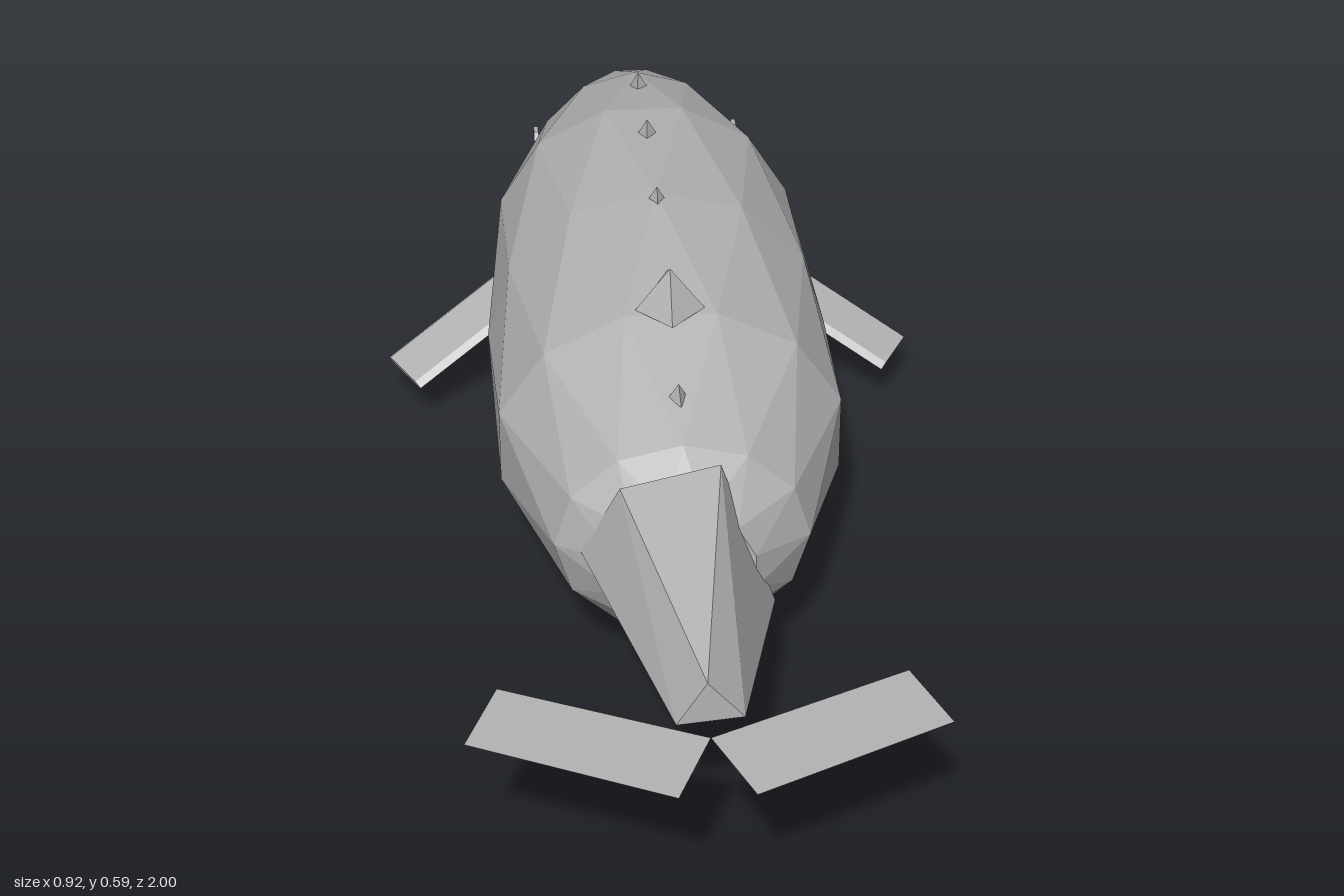
import * as THREE from 'three';

const skin = new THREE.MeshStandardMaterial({ color: 0xb4b4b4 });
skin.name = 'grey skin';
const thinSkin = new THREE.MeshStandardMaterial({ color: 0xb4b4b4, side: THREE.DoubleSide });
thinSkin.name = 'grey skin';

// Body sections: z, half width, bottom y, top y
const SECTIONS = [
  [-1, 0.03, 0.21, 0.28],
  [-0.94, 0.11, 0.12, 0.385],
  [-0.81, 0.185, 0.065, 0.45],
  [-0.58, 0.26, 0.025, 0.515],
  [-0.25, 0.285, 0, 0.54],
  [0.08, 0.285, 0.025, 0.525],
  [0.34, 0.2, 0.09, 0.45],
  [0.43, 0.11, 0.15, 0.39],
];

// Point on the body at a given z and angle around it
function surface(z, angle, grow = 1) {
  let i = 0;
  while (i < SECTIONS.length - 2 && z > SECTIONS[i + 1][0]) i++;
  const a = SECTIONS[i], b = SECTIONS[i + 1];
  const t = (z - a[0]) / (b[0] - a[0]);
  const [w, lo, hi] = [1, 2, 3].map((k) => a[k] + (b[k] - a[k]) * t);
  return new THREE.Vector3(
    Math.cos(angle) * w * grow,
    (lo + hi) / 2 + Math.sin(angle) * ((hi - lo) / 2) * grow,
    z
  );
}

// Flat-faced geometry from a list of corner points, three per face
function facets(points) {
  const g = new THREE.BufferGeometry().setFromPoints(points);
  g.computeVertexNormals();
  return g;
}

function flat(geometry) {
  const g = geometry.index ? geometry.toNonIndexed() : geometry;
  g.computeVertexNormals();
  return g;
}

function add(parent, name, geometry, material = skin) {
  const m = new THREE.Mesh(geometry, material);
  m.name = name;
  parent.add(m);
  return m;
}

function bodyGeometry() {
  const n = 12, pts = [];
  const rings = SECTIONS.map(([z], j) =>
    Array.from({ length: n }, (_, i) =>
      surface(z, ((i + (j % 2) / 2) / n) * Math.PI * 2)));
  for (let j = 0; j < rings.length - 1; j++) {
    const a = rings[j], b = rings[j + 1];
    for (let i = 0; i < n; i++) {
      const k = (i + 1) % n;
      // Rings are staggered by half a step, so the diagonal alternates
      if (j % 2) pts.push(a[i], a[k], b[k], a[i], b[k], b[i]);
      else pts.push(a[i], a[k], b[i], a[k], b[k], b[i]);
    }
  }
  const cap = (ring, flip) => {
    for (let i = 1; i < n - 1; i++) {
      pts.push(ring[0], ring[flip ? i + 1 : i], ring[flip ? i : i + 1]);
    }
  };
  cap(rings[0], true);
  cap(rings[rings.length - 1], false);
  return facets(pts);
}

// Five-sided tail stem narrowing to a triangular end
function tailGeometry() {
  const p = [
    [0.055, 0.44, 0.38], [-0.1, 0.41, 0.39], [-0.16, 0.285, 0.38],
    [-0.05, 0.12, 0.42], [0.14, 0.19, 0.4],
    [0, 0.37, 0.81], [-0.045, 0.295, 0.81], [0.055, 0.305, 0.81],
  ].map((v) => new THREE.Vector3(...v));
  const faces = [
    0, 1, 5, 1, 6, 5, 1, 2, 6, 2, 3, 6, 3, 7, 6, 3, 4, 7, 4, 0, 7, 0, 5, 7,
    5, 6, 7, 0, 2, 1, 0, 3, 2, 0, 4, 3,
  ];
  return facets(faces.map((i) => p[i]));
}

// Spike standing on the skin
function spike(parent, name, z, angle, radius, height, sides) {
  const base = surface(z, angle, 0.97);
  const m = add(parent, name, flat(new THREE.ConeGeometry(radius, height, sides)));
  const out = new THREE.Vector3(Math.cos(angle), Math.sin(angle), 0);
  m.quaternion.setFromUnitVectors(new THREE.Vector3(0, 1, 0), out);
  m.position.copy(base).addScaledVector(out, height / 2);
  return m;
}

export function createModel() {
  const whale = new THREE.Group();
  whale.name = 'whale';
  add(whale, 'body', bodyGeometry());
  add(whale, 'tailStem', tailGeometry());

  // Flat bevelled bar used for both flippers
  const section = new THREE.Shape([
    [-0.058, 0], [-0.045, -0.009], [0.045, -0.009],
    [0.058, 0], [0.045, 0.009], [-0.045, 0.009],
  ].map(([x, y]) => new THREE.Vector2(x, y)));

  for (const s of [1, -1]) {
    const side = s > 0 ? 'left' : 'right';

    // Flipper swept back, out and down
    const inner = new THREE.Vector3(s * 0.19, 0.205, -0.55);
    const outer = new THREE.Vector3(s * 0.432, 0.083, -0.42);
    const along = outer.clone().sub(inner);
    const length = along.length();
    along.normalize();
    const across = new THREE.Vector3(s * 0.45, 0, -0.9);
    across.addScaledVector(along, -across.dot(along)).normalize();
    const up = along.clone().cross(across);
    const bar = new THREE.ExtrudeGeometry(section, { depth: length, bevelEnabled: false });
    bar.applyMatrix4(new THREE.Matrix4().makeBasis(across, up, along).setPosition(inner));
    add(whale, side + 'Flipper', flat(bar));

    // Tail fluke, a flat sheet
    const q = [[0, 0.87], [0.055, 0.995], [0.35, 0.86], [0.3, 0.74]]
      .map(([x, z]) => new THREE.Vector3(s * x, 0.32, z));
    const order = s > 0 ? [0, 1, 2, 0, 2, 3] : [0, 2, 1, 0, 3, 2];
    add(whale, side + 'Fluke', facets(order.map((i) => q[i])), thinSkin);

    // Eye, cheek spike and mouth edge
    const angleOut = (a) => (s > 0 ? a : Math.PI - a);
    const eye = add(whale, side + 'Eye', flat(new THREE.CylinderGeometry(0.02, 0.02, 0.008, 6)));
    eye.rotation.z = Math.PI / 2;
    eye.position.copy(surface(-0.82, angleOut(0.3), 1.05));
    spike(whale, side + 'CheekSpike', -0.735, angleOut(-0.05), 0.022, 0.035, 4);

    const lip = [-0.99, -0.94, -0.88, -0.81, -0.73, -0.65]
      .map((z) => surface(z, angleOut(-0.3), 0.99));
    add(whale, side + 'Lip',
      flat(new THREE.TubeGeometry(new THREE.CatmullRomCurve3(lip), 8, 0.007, 3)));

    // Throat ridges along the underside
    for (const a of [-0.6, -0.9, -1.25]) {
      const path = [-0.75, -0.58, -0.4, -0.25, -0.1, 0.1]
        .map((z) => surface(z, angleOut(a), 0.975));
      add(whale, side + 'ThroatRidge',
        flat(new THREE.TubeGeometry(new THREE.CatmullRomCurve3(path), 8, 0.008, 3)));
    }
  }

  // Dorsal fin and the row of small spikes along the back
  spike(whale, 'dorsalFin', 0.065, Math.PI / 2, 0.055, 0.075, 4);
  for (const z of [-0.715, -0.475, -0.23, 0.005, 0.25]) {
    spike(whale, 'backSpike', z, Math.PI / 2, 0.018, 0.032, 3).rotateY(z * 9);
  }
  return whale;
}
